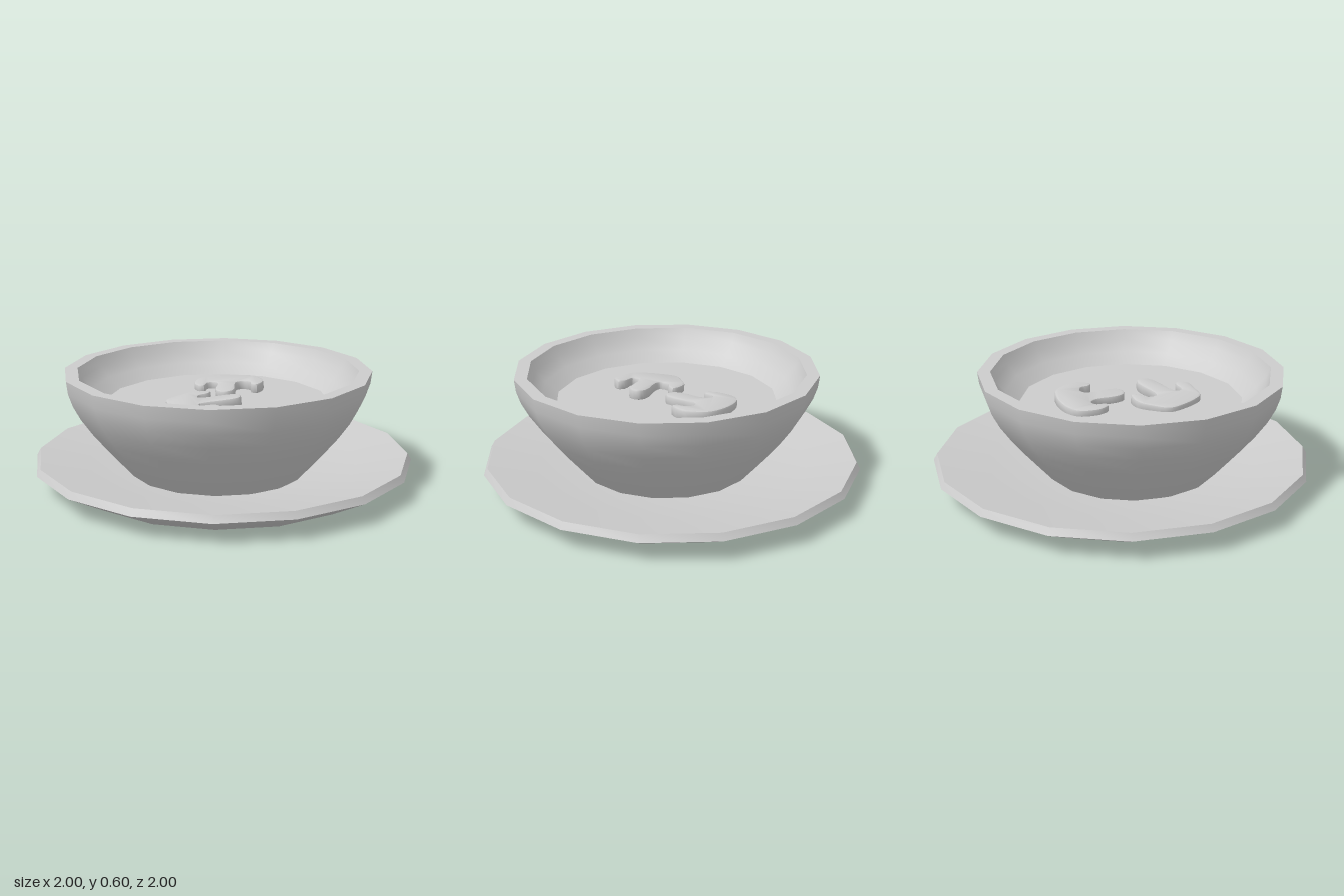
import * as THREE from 'three';
import { toCreasedNormals } from 'three/addons/utils/BufferGeometryUtils.js';

const SIDES = 16;
const CREASE = 0.6;

export function createModel() {
  const model = new THREE.Group();
  model.name = 'soupBowl';
  const grey = new THREE.MeshStandardMaterial({ color: 0xcccccc });
  grey.name = 'light grey';

  function add(name, geometry) {
    const mesh = new THREE.Mesh(geometry, grey);
    mesh.name = name;
    model.add(mesh);
    return mesh;
  }

  // Turned part from [radius, height] pairs, smooth apart from its rims
  function turned(name, profile) {
    const points = profile.map(([r, y]) => new THREE.Vector2(r, y));
    return add(name, toCreasedNormals(new THREE.LatheGeometry(points, SIDES), CREASE));
  }

  // Saucer
  turned('saucer', [
    [0, 0], [0.79, 0], [1, 0.11], [0.98, 0.145], [0.72, 0.1], [0.46, 0.06], [0, 0.05],
  ]);

  // Bowl, a little off the saucer's centre
  turned('bowl', [
    [0, 0.055], [0.45, 0.055], [0.53, 0.145], [0.6, 0.225], [0.67, 0.31], [0.73, 0.395],
    [0.77, 0.47], [0.792, 0.535], [0.8, 0.6], [0.733, 0.6], [0.71, 0.55], [0.66, 0.49], [0.588, 0.435],
  ]).position.set(-0.05, 0, 0.015);

  // Soup surface
  const soup = add('soup', new THREE.CircleGeometry(0.59, SIDES).rotateX(-Math.PI / 2));
  soup.position.set(-0.05, 0.435, 0.015);

  // Mushroom slice from an outline of [x, z] pairs, rounded and slightly tilted
  function mushroom(name, outline, cx, cz, tilt) {
    const path = new THREE.CatmullRomCurve3(
      outline.map(([x, z]) => new THREE.Vector3(x - cx, cz - z, 0)), true);
    const shape = new THREE.Shape(
      path.getPoints(66).slice(0, -1).map((p) => new THREE.Vector2(p.x, p.y)));
    const geometry = new THREE.ExtrudeGeometry(shape, {
      depth: 0.035, bevelThickness: 0.01, bevelSize: 0.01, bevelOffset: -0.01, bevelSegments: 2,
    });
    geometry.rotateX(-Math.PI / 2);
    const mesh = add(name, toCreasedNormals(geometry, 0.7));
    mesh.position.set(cx, 0.433, cz);
    mesh.rotation.set(-tilt, 0, tilt);
  }

  mushroom('leftMushroomSlice', [
    [0, -0.19], [0.02, -0.25], [0.11, -0.315], [0.19, -0.295], [0.28, -0.21], [0.33, -0.11],
    [0.31, -0.02], [0.27, 0.03], [0.2, 0.05], [0.19, 0.02], [0.22, -0.02], [0.21, -0.065],
    [0.17, -0.075], [0.05, 0.035], [0, 0.03], [-0.02, -0.015], [0.01, -0.07], [0.09, -0.14],
    [0.1, -0.185], [0.07, -0.2], [0.02, -0.17],
  ], 0.15, -0.13, 0.04);

  mushroom('rightMushroomSlice', [
    [-0.39, 0.07], [-0.35, -0.03], [-0.3, -0.1], [-0.22, -0.11], [-0.13, -0.1], [-0.075, -0.05],
    [-0.065, -0.02], [-0.1, -0.005], [-0.15, -0.015], [-0.185, 0.02], [-0.165, 0.05],
    [-0.05, 0.125], [-0.03, 0.17], [-0.065, 0.21], [-0.12, 0.2], [-0.26, 0.12], [-0.285, 0.15],
    [-0.235, 0.2], [-0.235, 0.24], [-0.29, 0.25], [-0.35, 0.19], [-0.395, 0.13],
  ], -0.21, 0.07, 0.06);

  return model;
}
